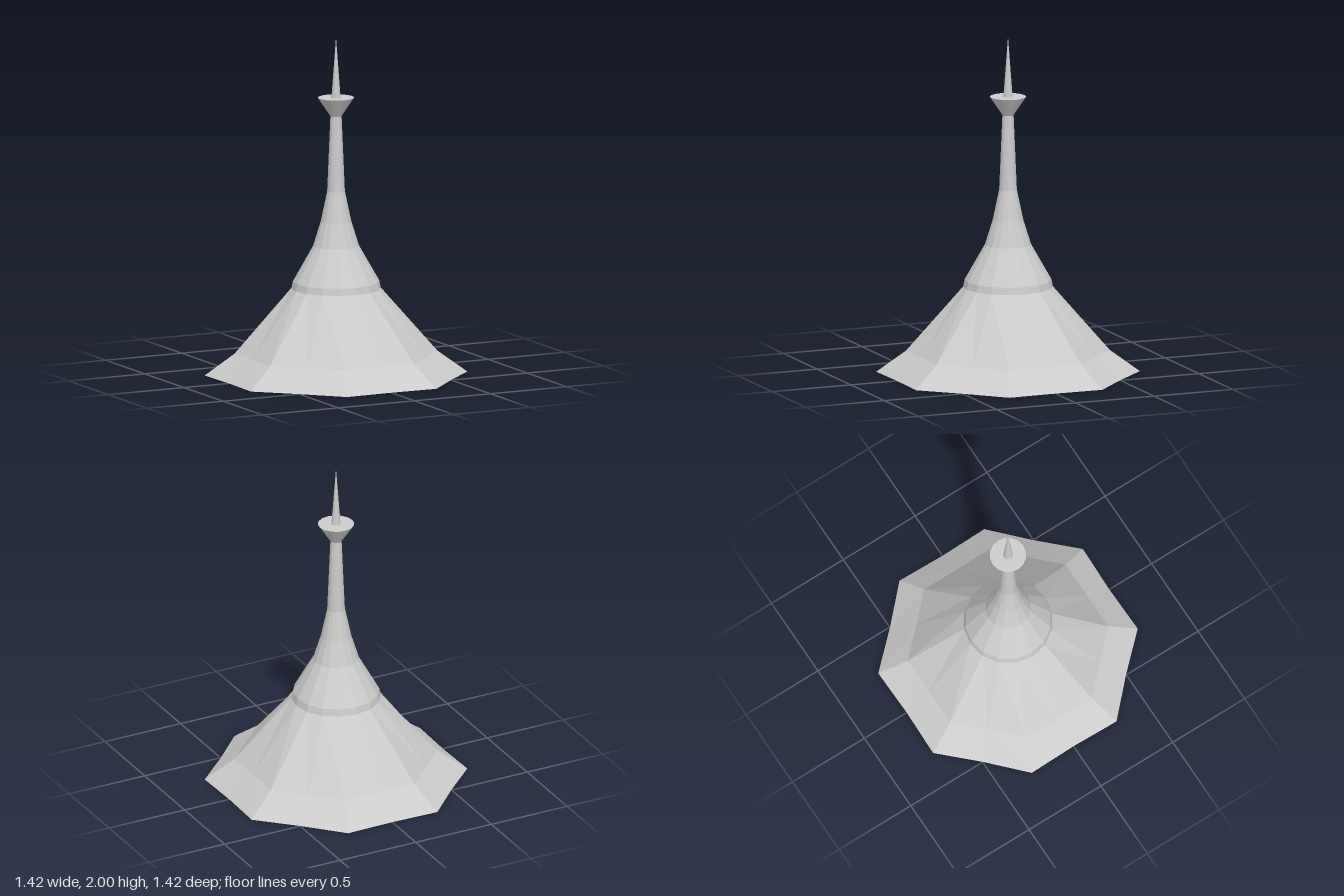
import * as THREE from 'three';

const SIDES = 16;
const material = new THREE.MeshStandardMaterial({ color: 0xcccccc, flatShading: true });

// Faceted turned part from [radius, height] points, listed bottom to top.
function turned(name, profile, sides = SIDES) {
  const points = profile.map(([r, y]) => new THREE.Vector2(r, y));
  const mesh = new THREE.Mesh(new THREE.LatheGeometry(points, sides), material);
  mesh.name = name;
  return mesh;
}

// Pull every second vertex inwards near the foot, so the round roof flares into an octagon.
function makeOctagonal(geometry) {
  const p = geometry.attributes.position;
  for (let i = 0; i < p.count; i++) {
    const y = p.getY(i);
    const column = Math.round(Math.atan2(p.getX(i), p.getZ(i)) / (Math.PI * 2 / SIDES));
    if (column % 2 !== 0 || y > 0.3) continue;
    const pull = y < 0.05 ? 0.915 : 0.924;
    p.setX(i, p.getX(i) * pull);
    p.setZ(i, p.getZ(i) * pull);
  }
  geometry.computeVertexNormals();
}

export function createModel() {
  const model = new THREE.Group();
  model.name = 'spireRoof';

  // Flared octagonal skirt with a closed underside
  const skirt = turned('skirt', [[0, 0], [0.771, 0], [0.595, 0.127], [0.262, 0.508]]);
  makeOctagonal(skirt.geometry);
  model.add(skirt);

  // Steep band where the skirt meets the upper roof
  model.add(turned('band', [[0.262, 0.508], [0.254, 0.55]]));

  // Concave upper roof drawn up into a slim neck
  model.add(turned('neck', [
    [0.254, 0.55], [0.135, 0.76], [0.09, 0.905], [0.052, 1.085], [0.033, 1.53],
  ]));

  // Inverted cone cup with a flat top
  model.add(turned('cup', [[0.033, 1.53], [0.107, 1.64], [0, 1.64]]));

  // Needle finial
  model.add(turned('finial', [[0.027, 1.64], [0, 2]]));

  return model;
}
